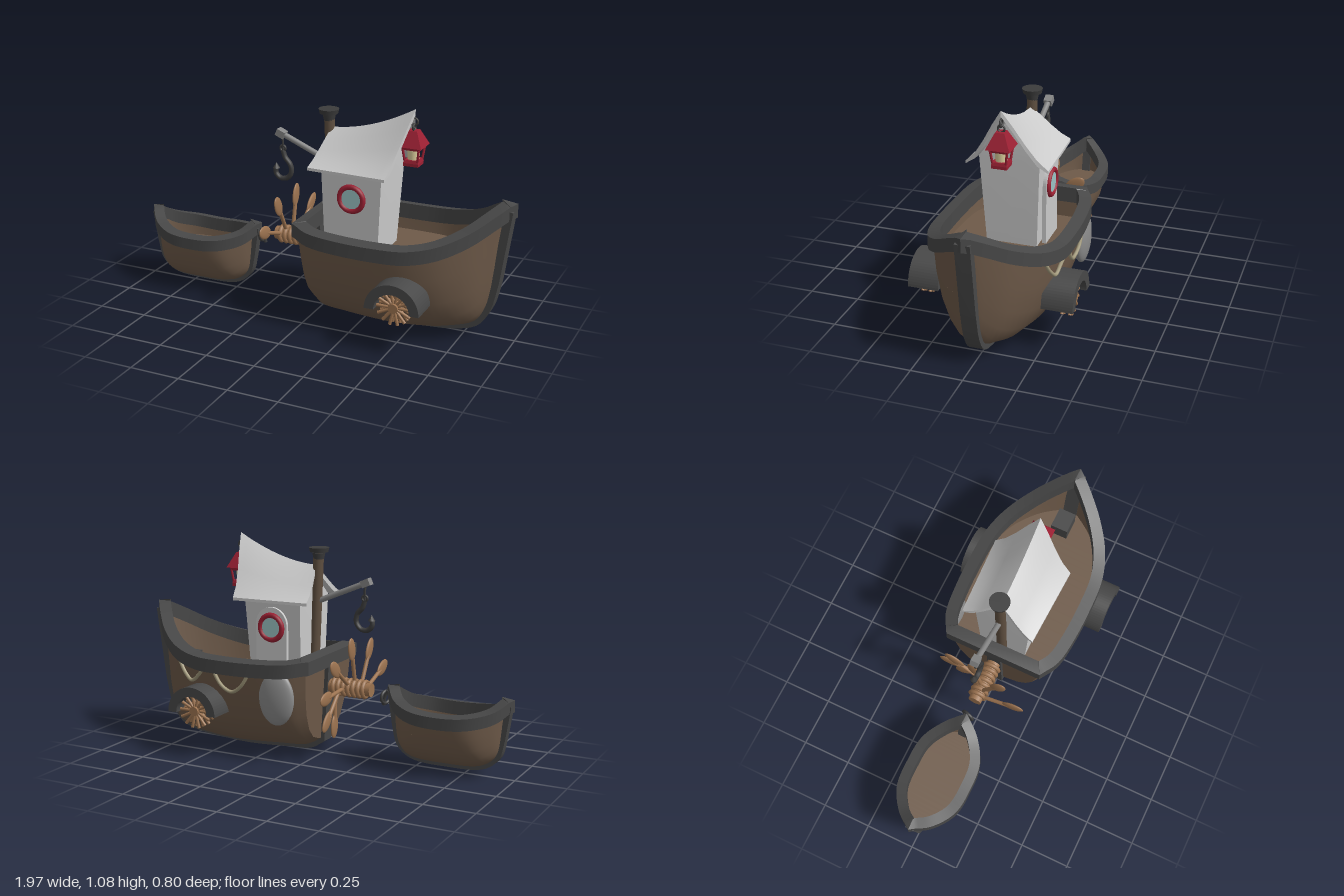
import * as THREE from 'three';
import { toCreasedNormals } from 'three/addons/utils/BufferGeometryUtils.js';

const V = (x, y, z) => new THREE.Vector3(x, y, z);
const mat = (color) => new THREE.MeshStandardMaterial({ color, side: THREE.DoubleSide });
const M = {
  hull: mat(0x6e5a49), trim: mat(0x484848), wood: mat(0x9c7350), wall: mat(0xcccccc), roof: mat(0xc4c4c4),
  pipe: mat(0x5f4f40), metal: mat(0x858585), iron: mat(0x3c3c3c), red: mat(0x9c2033),
  glass: mat(0x9cc4c4), lamp: mat(0xe0d3a0), rope: mat(0xa39a7c), pad: mat(0x8c8c8c),
};

function add(parent, name, geo, material, x = 0, y = 0, z = 0) {
  const m = new THREE.Mesh(geo, material);
  m.name = name;
  m.position.set(x, y, z);
  parent.add(m);
  return m;
}

function group(parent, name, x = 0, y = 0, z = 0) {
  const g = new THREE.Group();
  g.name = name;
  g.position.set(x, y, z);
  parent.add(g);
  return g;
}

// Skin a list of equally long rows of points
function loft(rows, crease = 0.6) {
  const n = rows[0].length, idx = [];
  for (let i = 0; i < rows.length - 1; i++)
    for (let j = 0; j < n - 1; j++) {
      const a = i * n + j, b = a + n;
      idx.push(a, b, a + 1, b, b + 1, a + 1);
    }
  const g = new THREE.BufferGeometry().setFromPoints(rows.flat());
  g.setIndex(idx);
  return toCreasedNormals(g, crease);
}

// Sweep a section [outward, along axis] on a path with mitred corners
function sweep(path, axis, section, closed) {
  const n = path.length;
  const normal = (a, b) => axis.clone().cross(b.clone().sub(a)).normalize();
  const rows = path.map((p, i) => {
    const prev = path[closed ? (i + n - 1) % n : Math.max(i - 1, 0)];
    const next = path[closed ? (i + 1) % n : Math.min(i + 1, n - 1)];
    const n2 = next === p ? normal(prev, p) : normal(p, next);
    const n1 = prev === p ? n2 : normal(prev, p);
    const m = n1.clone().add(n2).divideScalar(Math.max(1 + n1.dot(n2), 0.9));
    return [...section, section[0]].map(([o, a]) => p.clone().addScaledVector(m, o).addScaledVector(axis, a));
  });
  if (closed) rows.push(rows[0]);
  else {
    const mid = (r) => r.map(() => r[0].clone().lerp(r[2], 0.5));
    rows.unshift(mid(rows[0]));
    rows.push(mid(rows[rows.length - 1]));
  }
  return loft(rows, 0.5);
}

function tube(points, r, seg = 24) {
  return new THREE.TubeGeometry(new THREE.CatmullRomCurve3(points), seg, r, 8);
}

function rod(parent, name, a, b, r, material, r2 = r) {
  const d = b.clone().sub(a), c = a.clone().lerp(b, 0.5);
  const m = add(parent, name, new THREE.CylinderGeometry(r2, r, d.length(), 12), material, c.x, c.y, c.z);
  m.quaternion.setFromUnitVectors(V(0, 1, 0), d.normalize());
  return m;
}

// Hull half-section: [width share, height share]
const SECTION = [[0, 0], [0.25, 0.02], [0.5, 0.075], [0.7, 0.2], [0.85, 0.4], [0.95, 0.68], [1, 1]];
function widthAt(h) {
  const i = Math.max(1, SECTION.findIndex((s) => s[1] >= h));
  const [a, b] = [SECTION[i - 1], SECTION[i]];
  return a[0] + ((b[0] - a[0]) * (h - a[1])) / (b[1] - a[1]);
}

// Stations, stern to bow: [rim x, rim y, half width, keel x, keel y]
function boat(parent, name, stations, deckY, k, keelHalf) {
  const g = group(parent, name), N = 32;
  const rim = new THREE.CatmullRomCurve3(stations.map((s) => V(s[0], s[1], s[2]))).getPoints(N);
  const keel = new THREE.CatmullRomCurve3(stations.map((s) => V(s[3], s[4], 0))).getPoints(N);
  const at = (i, w, h, side) => V(
    THREE.MathUtils.lerp(keel[i].x, rim[i].x, h),
    THREE.MathUtils.lerp(keel[i].y, rim[i].y, h), side * w * Math.max(rim[i].z, 0));
  const rows = rim.map((_, i) => [
    ...SECTION.slice(1).reverse().map(([w, h]) => at(i, w, h, -1)),
    ...SECTION.map(([w, h]) => at(i, w, h, 1))]);
  add(g, 'hull', loft(rows, 0.9), M.hull);
  if (stations[0][2] > 0) add(g, 'transom', loft([rows[0], rows[0].map((p) => V(p.x, p.y, 0))]), M.hull);

  const deck = [];
  rim.forEach((r, i) => {
    const h = (deckY - keel[i].y) / (r.y - keel[i].y);
    if (h >= 0 && h <= 1) deck.push([at(i, widthAt(h), h, -1), at(i, widthAt(h), h, 1)]);
  });
  add(g, 'deck', loft(deck), M.hull);

  // Gunwale all the way round
  const left = [...rim].reverse();
  const right = rim.filter((p) => p.z > 0.001).map((p) => V(p.x, p.y, -p.z));
  add(g, 'gunwale', sweep([...left, ...right], V(0, 1, 0),
    [[0.025 * k, -0.033 * k], [0.025 * k, 0.034 * k], [-0.035 * k, 0.045 * k], [-0.035 * k, -0.033 * k]], true), M.trim);

  // Keel with stem and stern post
  const flat = (p) => V(p.x, p.y, 0);
  add(g, 'keel', sweep([flat(rim[N]), ...[...keel].reverse(), flat(rim[0])], V(0, 0, 1),
    [[0.02 * k, -keelHalf], [0.02 * k, keelHalf], [-0.02 * k, keelHalf], [-0.02 * k, -keelHalf]], false), M.trim);
  return g;
}

// Roof height at a share u of its length and a distance z from the ridge
const SLOPE = [1, 0.73, 0.43, 0.17, 0];
const ridge = (u) => 0.945 + 0.135 * Math.pow(u, 1.8);
const roofY = (u, j) => 0.785 + (ridge(u) - 0.785) * SLOPE[j];

function cabin(parent) {
  const g = group(parent, 'cabin');
  const wallRow = (x0, x1, u) => {
    const half = [[x0, 0.36, 0.125], [x1, roofY(u, 3) - 0.02, 0.147], [x1, roofY(u, 2) - 0.02, 0.1],
      [x1, roofY(u, 1) - 0.02, 0.05], [x1, roofY(u, 0) - 0.02, 0]];
    return [...half.map(([x, y, z]) => V(x, y, z)), ...half.slice(0, 4).reverse().map(([x, y, z]) => V(x, y, -z))];
  };
  const back = wallRow(0.065, 0.055, 0.1), front = wallRow(0.34, 0.365, 0.75);
  const centre = (r) => r.map((p) => V(p.x, p.y, 0));
  add(g, 'cabinWalls', loft([centre(back), back, front, centre(front)]), M.wall);

  // Swept roof shell with a raking front edge
  const rows = [];
  for (let i = 0; i <= 12; i++) {
    const u = i / 12, row = [];
    for (const t of [0, -0.028])
      for (let s = -4; s <= 4; s++) {
        const j = t ? Math.abs(-s) : Math.abs(s), z = (t ? -s : s) * 0.05;
        const x0 = 0.045 * SLOPE[j], x1 = 0.4 + 0.07 * SLOPE[j];
        row.push(V(x0 + (x1 - x0) * u, roofY(u, j) + t * (j === 4 ? 0.5 : 1), z * (1 - 0.08 * (1 - u))));
      }
    row.push(row[0]);
    rows.push(row);
  }
  add(g, 'roof', loft(rows, 0.7), M.roof);
  for (const r of [rows[0], rows[12]]) {
    const lower = r.slice(9, 18).reverse();
    add(g, 'roofEdge', loft([r.slice(0, 9), lower]), M.roof);
  }

  // Arched door on the far side, portholes on both
  const door = new THREE.Shape().moveTo(-0.085, 0).lineTo(0.085, 0).lineTo(0.085, 0.3);
  door.absarc(0, 0.3, 0.085, 0, Math.PI).lineTo(-0.085, 0);
  add(g, 'door', new THREE.ExtrudeGeometry(door, { depth: 0.02, bevelEnabled: false, curveSegments: 12 }),
    M.wall, 0.21, 0.36, -0.157);
  for (const s of [1, -1]) {
    const p = group(g, 'porthole', 0.21, 0.645, s * (s > 0 ? 0.142 : 0.157));
    add(p, 'portholeRing', new THREE.TorusGeometry(0.06, 0.014, 8, 28), M.red);
    add(p, 'portholeGlass', new THREE.CylinderGeometry(0.055, 0.055, 0.012, 24), M.glass).rotation.x = Math.PI / 2;
  }

  rod(g, 'chimney', V(0.06, 0.36, 0), V(0.03, 1.01, 0), 0.026, M.pipe);
  add(g, 'chimneyCap', new THREE.CylinderGeometry(0.05, 0.045, 0.022, 20), M.iron, 0.028, 1.02, 0);
  add(g, 'chimneyCollar', new THREE.CylinderGeometry(0.032, 0.026, 0.03, 16), M.iron, 0.03, 0.99, 0);
}

function lantern(parent) {
  const g = group(parent, 'lantern', 0.465, 0, 0);
  const square = (name, top, bottom, y0, y1) => {
    const geo = new THREE.CylinderGeometry(top * Math.SQRT2, bottom * Math.SQRT2, y1 - y0, 4).toNonIndexed();
    geo.rotateY(Math.PI / 4);
    geo.computeVertexNormals();
    add(g, name, geo, M.red, 0, (y0 + y1) / 2, 0);
  };
  square('lanternRoof', 0.022, 0.058, 0.905, 0.98);
  square('lanternCollar', 0.046, 0.043, 0.89, 0.905);
  square('lanternSill', 0.034, 0.038, 0.825, 0.84);
  square('lanternBase', 0.037, 0.037, 0.81, 0.825);
  add(g, 'lanternGlass', new THREE.CylinderGeometry(0.031, 0.028, 0.055, 16), M.lamp, 0, 0.865, 0);
  for (const x of [1, -1]) for (const z of [1, -1])
    rod(g, 'lanternPost', V(x * 0.032, 0.835, z * 0.032), V(x * 0.04, 0.895, z * 0.04), 0.006, M.red);
  add(g, 'lanternRing', new THREE.TorusGeometry(0.016, 0.005, 8, 16), M.iron, 0, 0.993, 0).rotation.y = Math.PI / 2;
  add(g, 'lanternHanger', new THREE.TorusGeometry(0.018, 0.005, 8, 16), M.iron, 0, 1.02, 0);
}

function crane(parent) {
  const g = group(parent, 'crane');
  rod(g, 'craneArm', V(0.05, 0.76, 0), V(-0.225, 0.875, 0), 0.014, M.metal);
  add(g, 'craneHead', new THREE.BoxGeometry(0.045, 0.035, 0.04), M.metal, -0.228, 0.876, 0).rotation.z = -0.4;
  rod(g, 'craneCable', V(-0.22, 0.87, 0), V(-0.22, 0.79, 0), 0.006, M.iron);
  add(g, 'hookEye', new THREE.TorusGeometry(0.014, 0.006, 8, 16), M.iron, -0.22, 0.8, 0);
  const hook = [V(-0.22, 0.79, 0), V(-0.208, 0.755, 0), V(-0.18, 0.72, 0), V(-0.175, 0.68, 0), V(-0.2, 0.648, 0),
    V(-0.235, 0.645, 0), V(-0.26, 0.67, 0), V(-0.258, 0.7, 0)];
  add(g, 'hook', tube(hook, 0.013, 32), M.iron);
  add(g, 'hookTip', new THREE.ConeGeometry(0.018, 0.03, 10), M.iron, -0.257, 0.708, 0);
}

function sternScrew(parent) {
  const g = group(parent, 'sternScrew', 0, 0.35, 0);
  rod(g, 'screwShaft', V(-0.26, 0, 0), V(0, 0, 0), 0.034, M.wood);
  for (let i = 0; i < 7; i++) {
    const oar = group(g, 'oar', -0.226 + i * 0.027, 0, 0);
    oar.rotation.x = THREE.MathUtils.degToRad(70 - i * 41);
    add(oar, 'oarRing', new THREE.TorusGeometry(0.038, 0.011, 8, 20), M.wood).rotation.y = Math.PI / 2;
    rod(oar, 'oarShaft', V(0, 0.03, 0), V(0, 0.2, 0), 0.01, M.wood);
    add(oar, 'oarBlade', new THREE.SphereGeometry(1, 16, 10), M.wood, 0, 0.205, 0).scale.set(0.01, 0.06, 0.034);
  }
}

function sideWheel(parent, s) {
  const g = group(parent, 'sideWheel', 0.525, 0.225, 0);
  const arch = new THREE.Shape().absarc(0, 0, 0.135, 0, Math.PI).absarc(0, 0, 0.088, Math.PI, 0, true);
  add(g, 'wheelGuard', new THREE.ExtrudeGeometry(arch, { depth: 0.15, bevelEnabled: false, curveSegments: 16 }),
    M.trim, 0, 0, s > 0 ? 0.25 : -0.4);
  rod(g, 'wheelAxle', V(0, 0.01, s * 0.24), V(0, 0.01, s * 0.38), 0.024, M.wood);
  for (const z of [0.325, 0.362])
    for (let i = 0; i < 14; i++) {
      const a = (i / 14) * Math.PI * 2, c = Math.cos(a), d = Math.sin(a);
      rod(g, 'wheelSpoke', V(0, 0.01, s * z), V(0.088 * c, 0.01 + 0.088 * d, s * z), 0.006, M.wood, 0.008);
    }
}

export function createModel() {
  const model = new THREE.Group();
  const ship = boat(model, 'ship', [
    [-0.025, 0.485, 0.24, 0.0, 0.08], [0.06, 0.47, 0.285, 0.06, 0.045], [0.2, 0.462, 0.305, 0.18, 0.035],
    [0.4, 0.46, 0.31, 0.4, 0.024], [0.55, 0.467, 0.3, 0.55, 0.03], [0.68, 0.495, 0.255, 0.7, 0.045],
    [0.8, 0.55, 0.17, 0.81, 0.08], [0.89, 0.615, 0.075, 0.865, 0.16], [0.95, 0.66, 0, 0.9, 0.3]], 0.36, 1, 0.037);
  add(ship, 'bowStep', new THREE.BoxGeometry(0.11, 0.08, 0.09), M.trim, 0.8, 0.4, 0);
  cabin(ship);
  lantern(ship);
  crane(ship);
  sternScrew(ship);
  for (const s of [1, -1]) sideWheel(ship, s);

  // Rope swags and a hanging fender on the far side
  for (const [x0, x1, low] of [[0.24, 0.46, 0.34], [0.5, 0.67, 0.37]]) {
    const m = (x0 + x1) / 2, q = (x1 - x0) / 4, dz = x0 > 0.48 ? 0.025 : 0;
    add(ship, 'ropeSwag', tube([V(x0, 0.45, -0.32), V(m - q, low + 0.03, -0.318 + dz / 2), V(m, low, -0.31 + dz / 2),
      V(m + q, low + 0.03, -0.313 + dz), V(x1, 0.46, -0.315 + dz * 1.6)], 0.009), M.rope);
  }
  add(ship, 'fender', new THREE.SphereGeometry(1, 24, 16), M.pad, 0.11, 0.33, -0.285).scale.set(0.095, 0.135, 0.035);

  // Small boat towed behind
  const half = [[0.295, 0.36, 0, 0.27, 0.2], [0.235, 0.31, 0.075, 0.245, 0.11], [0.13, 0.284, 0.14, 0.18, 0.06]];
  const dinghy = boat(model, 'dinghy', [
    ...half.map(([x, y, w, kx, ky]) => [-0.667 - x, y, w, -0.667 - kx, ky]), [-0.667, 0.276, 0.152, -0.667, 0.046],
    ...half.reverse().map(([x, y, w, kx, ky]) => [-0.667 + x, y, w, -0.667 + kx, ky])], 0.2, 0.85, 0.022);
  add(dinghy, 'towHook', tube([V(-0.36, 0.35, 0), V(-0.345, 0.355, 0), V(-0.332, 0.33, 0), V(-0.325, 0.285, 0)], 0.009, 16), M.iron);
  add(dinghy, 'towRing', new THREE.TorusGeometry(0.03, 0.008, 8, 20), M.iron, -0.335, 0.325, 0).rotation.y = Math.PI / 2 - 0.3;
  return model;
}
